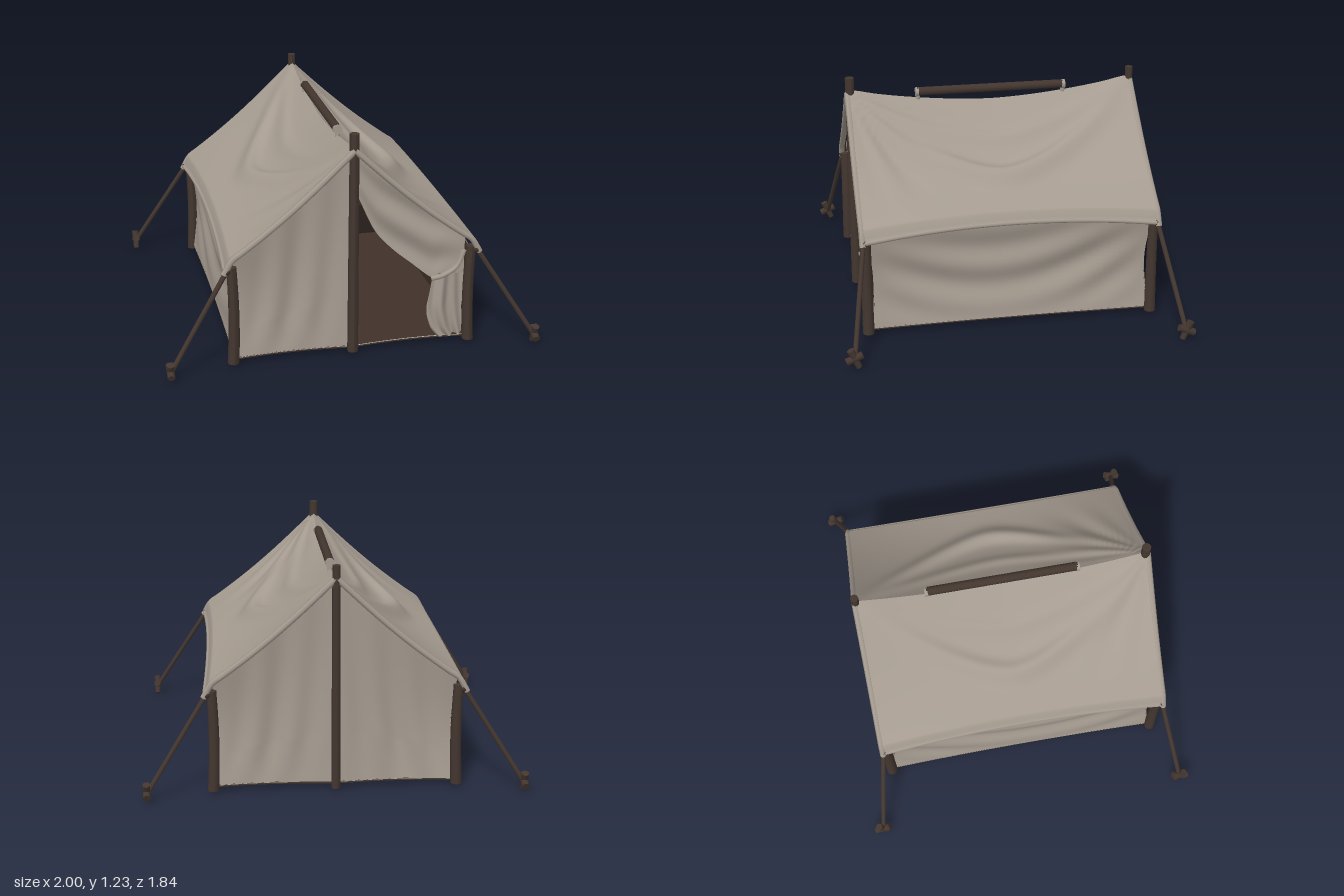
import * as THREE from 'three';
import { ParametricGeometry } from 'three/addons/geometries/ParametricGeometry.js';

const material = (name, color) => {
  const m = new THREE.MeshStandardMaterial({ color, side: THREE.DoubleSide });
  m.name = name;
  return m;
};
const lerp = THREE.MathUtils.lerp;
const bump = (x, width) => Math.exp(-((x / width) ** 2));
const arch = (t) => Math.sin(Math.PI * t);
const V = (x, y, z) => new THREE.Vector3(x, y, z);

const FLOOR = 0.035;
const ROOF_Z = 0.795;

// Roof height: u runs ridge to eave, v runs -1 (back) to 1 (front), s is the side
function roofY(s, u, v) {
  const ridge = 1.07 + 0.09 * Math.abs(v) ** 1.7;
  const eave = 0.64 - 0.05 * v * v;
  const open = 1 - v * v;
  let y = lerp(ridge, eave, u) - (0.028 + 0.022 * open) * arch(u);
  // long folds slung between the two peaks
  const sling = 1.02 - (v * v + 0.015) ** 0.68;
  y += 0.048 * open * bump(u - 0.65 * sling, 0.085);
  y += 0.02 * open * bump(u - 0.31 * sling, 0.06);
  // pleats fanning out of the front peak
  const dist = Math.hypot(u, 1 - v);
  const angle = Math.atan2(u, 1 - v);
  const reach = bump(dist - 0.5, 0.3) * arch(Math.min(angle / 1.5, 1));
  y += (s > 0 ? 0.014 : 0.006) * Math.sin(angle * 17) * reach;
  // rolled-over eave
  return y - 0.045 * THREE.MathUtils.smoothstep(u, 0.955, 1);
}
const eaveX = (v) => 0.655 + 0.025 * v * v;

// Corner edge shared by side and end walls, pulled inward at mid height
const cornerX = (t) => 0.635 - 0.026 * arch(t);
const cornerZ = (t) => 0.765 - 0.03 * arch(t);

// Top of an end wall, just beneath the roof
const gableTop = (x, f) =>
  roofY(Math.sign(x) || 1, Math.min(Math.abs(x) / 0.68, 0.95), f * 0.96) - 0.012;

export function createModel() {
  const canvas = material('canvas', 0xa59b90);
  const floorCanvas = material('floorCanvas', 0xb3aa9f);
  const lining = material('lining', 0x413129);
  const wood = material('wood', 0x43362f);
  const shade = material('darkCloth', 0x2b211d);

  const tent = new THREE.Group();
  tent.name = 'tent';

  function add(name, geometry, mat, parent = tent) {
    const mesh = new THREE.Mesh(geometry, mat);
    mesh.name = name;
    parent.add(mesh);
    return mesh;
  }

  // Cloth panel: canvas outside, dark lining set slightly inside it
  function cloth(name, fn, nu, nv) {
    const outer = new ParametricGeometry((u, v, p) => p.set(...fn(u, v)), nu, nv);
    const inner = outer.clone();
    const { position, normal } = inner.attributes;
    for (let i = 0; i < position.count; i++) {
      position.setXYZ(i,
        position.getX(i) - 0.005 * normal.getX(i),
        position.getY(i) - 0.005 * normal.getY(i),
        position.getZ(i) - 0.005 * normal.getZ(i));
    }
    add(name, outer, canvas);
    add(name + 'Lining', inner, lining);
  }

  // Straight round bar between two points
  function bar(name, a, b, radius, mat = wood, parent = tent, tipRadius = radius) {
    const mesh = add(name, new THREE.CylinderGeometry(tipRadius, radius, a.distanceTo(b), 10), mat, parent);
    mesh.position.copy(a).add(b).multiplyScalar(0.5);
    mesh.quaternion.setFromUnitVectors(V(0, 1, 0), b.clone().sub(a).normalize());
  }

  // Upright pole with a slight natural bow
  function pole(name, x, z, top, radius, bow) {
    const h = top - 0.015;
    const g = new THREE.CylinderGeometry(radius * 0.85, radius, h, 10, 10);
    const p = g.attributes.position;
    for (let i = 0; i < p.count; i++) {
      p.setX(i, p.getX(i) + bow * Math.cos((p.getY(i) / h) * Math.PI));
    }
    g.computeVertexNormals();
    add(name, g, wood).position.set(x, 0.015 + h / 2, z);
  }

  function hem(name, points, radius) {
    add(name, new THREE.TubeGeometry(new THREE.CatmullRomCurve3(points), 40, radius, 6), canvas);
  }

  for (const s of [1, -1]) {
    const side = s > 0 ? 'left' : 'right';

    // Roof slope
    cloth(side + 'Roof', (a, b) => {
      const u = s > 0 ? a : 1 - a;
      const v = 1 - 2 * b;
      return [s * eaveX(v) * u, roofY(s, u, v), ROOF_Z * v];
    }, 56, 64);

    // Side wall with hanging folds
    cloth(side + 'Wall', (a, t) => {
      const q = -s * (2 * a - 1);
      const y = lerp(FLOOR, 0.62 - 0.07 * q * q, t);
      const swag = t - 0.55 * q * q + 0.12 * q;
      const x = cornerX(t) - 0.012 * (1 - q * q) + 0.012 * Math.sin(swag * 15) * (1 - q ** 4) * arch(t);
      return [s * x, y, q * cornerZ(t)];
    }, 48, 24);

    // Rolled hem along the eave
    hem(side + 'EaveHem', Array.from({ length: 9 }, (_, i) => {
      const v = 1 - i / 4;
      return V(s * (eaveX(v) - 0.006), roofY(s, 1, v), ROOF_Z * v);
    }), 0.012);

    for (const f of [1, -1]) {
      const end = f > 0 ? 'Front' : 'Back';

      // Hem down the gable edge
      hem(side + end + 'GableHem', Array.from({ length: 16 }, (_, i) => {
        const u = i / 15;
        return V(s * eaveX(1) * u, roofY(s, u, f) - 0.016, f * (ROOF_Z - 0.006));
      }), 0.017);

      // Corner pole, guy rope and peg
      pole(side + end + 'CornerPole', s * 0.638, f * 0.77, 0.56, 0.031, -s * 0.008);
      const peg = V(s * 0.97, 0.06, f * 0.87);
      const knot = V(s * 0.665, 0.545, f * 0.785);
      bar(side + end + 'GuyRope', knot, peg, 0.013);
      add(side + end + 'Knot', new THREE.SphereGeometry(0.021, 10, 8), wood).position.copy(knot);
      const stake = new THREE.Group();
      stake.name = side + end + 'Peg';
      stake.position.set(s * 0.979, 0.057, f * 0.873);
      stake.rotation.x = f * 0.4;
      bar('pegShaft', V(0, -0.054, 0), V(0, 0.052, 0), 0.016, wood, stake, 0.02);
      bar('pegCross', V(0, 0, -0.045), V(0, 0, 0.045), 0.02, wood, stake);
      tent.add(stake);
    }
  }

  // End walls: pleats fan down from the peak, drawn inward between the poles
  function endWall(name, f, from, to, n) {
    cloth(name, (a, t) => {
      const k = f * lerp(from, to, a);
      const x = k * cornerX(t);
      const y = lerp(FLOOR, gableTop(x, f), t);
      const m = Math.abs(k);
      const pleat = (0.014 * Math.sin(m * 19 + t * 3) * Math.min(t * 4, 1) - 0.018) * arch(m) * (1 - 0.6 * t);
      return [x, y, f * (0.765 - 0.03 * arch(t) * (0.4 + 0.6 * m) + pleat)];
    }, n, 28);
  }
  endWall('backWall', -1, -1, 1, 72);
  endWall('frontRightWall', 1, -1, 0, 40);

  // Open door: upper cloth swept aside to the tie
  const sweep = new THREE.SplineCurve([[0, 0.93], [0.04, 0.85], [0.12, 0.68], [0.21, 0.575], [0.32, 0.48],
    [0.43, 0.39], [0.5, 0.39], [0.61, 0.4]].map(([x, y]) => new THREE.Vector2(x, y)));
  cloth('doorUpperFlap', (a, t) => {
    const low = sweep.getPoint(a);
    const y = lerp(low.y, gableTop(low.x, 1), t);
    const pleat = 0.012 * Math.sin((1 - t) * 11 + a * 4) * arch(a);
    return [low.x, y, 0.75 + pleat];
  }, 40, 20);

  // Gathered cloth hanging below the tie
  const gather = new THREE.SplineCurve([[0.47, 0.04], [0.43, 0.1], [0.405, 0.2], [0.42, 0.3], [0.44, 0.41]]
    .map(([x, y]) => new THREE.Vector2(x, y)));
  cloth('doorGather', (a, t) => {
    const edge = gather.getPoint(t);
    const pleat = 0.014 * Math.sin(a * 17 + t * 3) * (1 - 0.6 * t);
    return [lerp(edge.x, 0.615, a), edge.y, 0.745 + pleat + 0.025 * bump(a - 0.3, 0.3)];
  }, 40, 16);
  hem('doorTie', [V(0.43, 0.385, 0.765), V(0.48, 0.405, 0.785), V(0.56, 0.45, 0.78), V(0.6, 0.54, 0.775)], 0.014);

  // Floor with edges curved in between the poles: dark on top, canvas beneath
  const outline = new THREE.Shape();
  outline.moveTo(0.635, 0.768);
  outline.quadraticCurveTo(0.61, 0, 0.635, -0.768);
  outline.quadraticCurveTo(0.32, -0.728, 0, -0.768);
  outline.quadraticCurveTo(-0.32, -0.728, -0.635, -0.768);
  outline.quadraticCurveTo(-0.61, 0, -0.635, 0.768);
  outline.quadraticCurveTo(-0.32, 0.728, 0, 0.768);
  outline.quadraticCurveTo(0.32, 0.728, 0.635, 0.768);
  const sheet = new THREE.ShapeGeometry(outline, 16).rotateX(-Math.PI / 2);
  add('floor', sheet, lining).position.y = FLOOR + 0.005;
  const base = new THREE.ExtrudeGeometry(outline, { depth: 0.008, bevelEnabled: false, curveSegments: 16 });
  add('floorUnderside', base.rotateX(-Math.PI / 2), [floorCanvas, wood]).position.y = FLOOR - 0.007;

  // Dark skirt inside the back wall
  add('innerSkirt', new THREE.BoxGeometry(1.14, 0.19, 0.008), shade).position.set(0, 0.135, -0.69);

  // Centre poles
  pole('frontPole', 0, 0.775, 1.23, 0.029, 0);
  pole('backPole', 0, -0.785, 1.21, 0.025, 0);

  // Ridge bar strapped above the sagging ridge
  bar('ridgeBar', V(0, 1.132, -0.408), V(0, 1.132, 0.408), 0.024);
  for (const f of [1, -1]) {
    bar('ridgeCollar', V(0, 1.13, f * 0.4), V(0, 1.13, f * 0.418), 0.026, canvas);
    bar('ridgeStrap', V(0, 1.07, f * 0.405), V(0, 1.13, f * 0.405), 0.013, canvas);
  }
  return tent;
}
